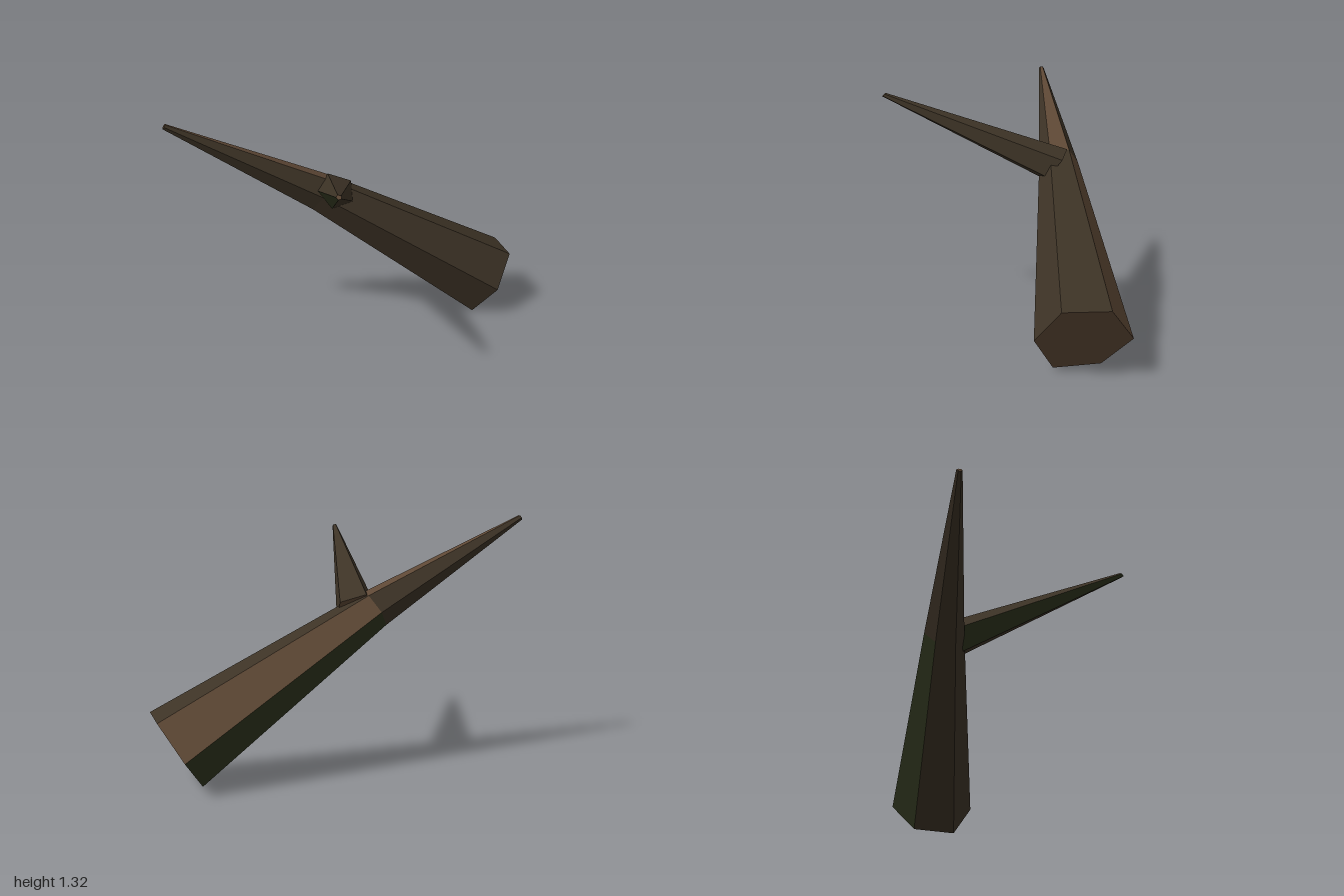
import * as THREE from 'three';

const mat = (name, color) => {
  const m = new THREE.MeshStandardMaterial({ color, flatShading: true });
  m.name = name;
  return m;
};

// A tapered limb: its base ring is scaled and moved to each later station.
// colours[s][i] is the material index of facet i in section s.
function limb(name, base, stations, colours, materials) {
  const centre = base.reduce((c, p) => c.add(p), new THREE.Vector3()).divideScalar(base.length);
  const rings = [base, ...stations.map(({ at, scale }) =>
    base.map(p => p.clone().sub(centre).multiplyScalar(scale).add(new THREE.Vector3(...at))))];
  const n = base.length;
  const faces = materials.map(() => []);

  // Side facets
  for (let s = 0; s + 1 < rings.length; s++) {
    for (let i = 0; i < n; i++) {
      const j = (i + 1) % n;
      const [a, b, c, d] = [rings[s][i], rings[s][j], rings[s + 1][j], rings[s + 1][i]];
      faces[colours[s][i]].push(a, b, c, a, c, d);
    }
  }
  // Cut end and tip
  const last = rings[rings.length - 1];
  for (let i = 1; i + 1 < n; i++) {
    faces[0].push(base[0], base[i + 1], base[i], last[0], last[i], last[i + 1]);
  }

  const geometry = new THREE.BufferGeometry().setFromPoints(faces.flat());
  let start = 0;
  faces.forEach((list, m) => {
    if (list.length) geometry.addGroup(start, list.length, m);
    start += list.length;
  });
  geometry.computeVertexNormals();
  const mesh = new THREE.Mesh(geometry, materials);
  mesh.name = name;
  return mesh;
}

const points = list => list.map(p => new THREE.Vector3(...p));

export function createModel() {
  const group = new THREE.Group();
  group.name = 'fallenBranch';
  const materials = [
    mat('lightBark', 0x5e4835),
    mat('darkBark', 0x3d3326),
    mat('moss', 0x2f351e),
  ];

  // Six-sided trunk with one bend
  group.add(limb('trunk', points([
    [1.0, 0.36, -0.285], [0.985, 0.36, -0.52], [0.87, 0.185, -0.64],
    [0.77, 0.02, -0.50], [0.775, 0.0, -0.265], [0.895, 0.185, -0.165],
  ]), [
    { at: [-0.155, 0.845, -0.345], scale: 0.46 },
    { at: [-0.993, 1.305, -0.291], scale: 0.065 },
  ], [
    [1, 0, 2, 1, 1, 1],
    [0, 1, 1, 1, 1, 1],
  ], materials));

  // Five-sided side branch
  group.add(limb('sideBranch', points([
    [-0.10, 0.93, -0.39], [-0.175, 0.86, -0.315], [-0.10, 0.775, -0.24],
    [0.025, 0.795, -0.275], [0.03, 0.89, -0.355],
  ]), [
    { at: [-0.212, 1.222, 0.633], scale: 0.125 },
  ], [
    [1, 2, 1, 1, 1],
  ], materials));

  return group;
}
